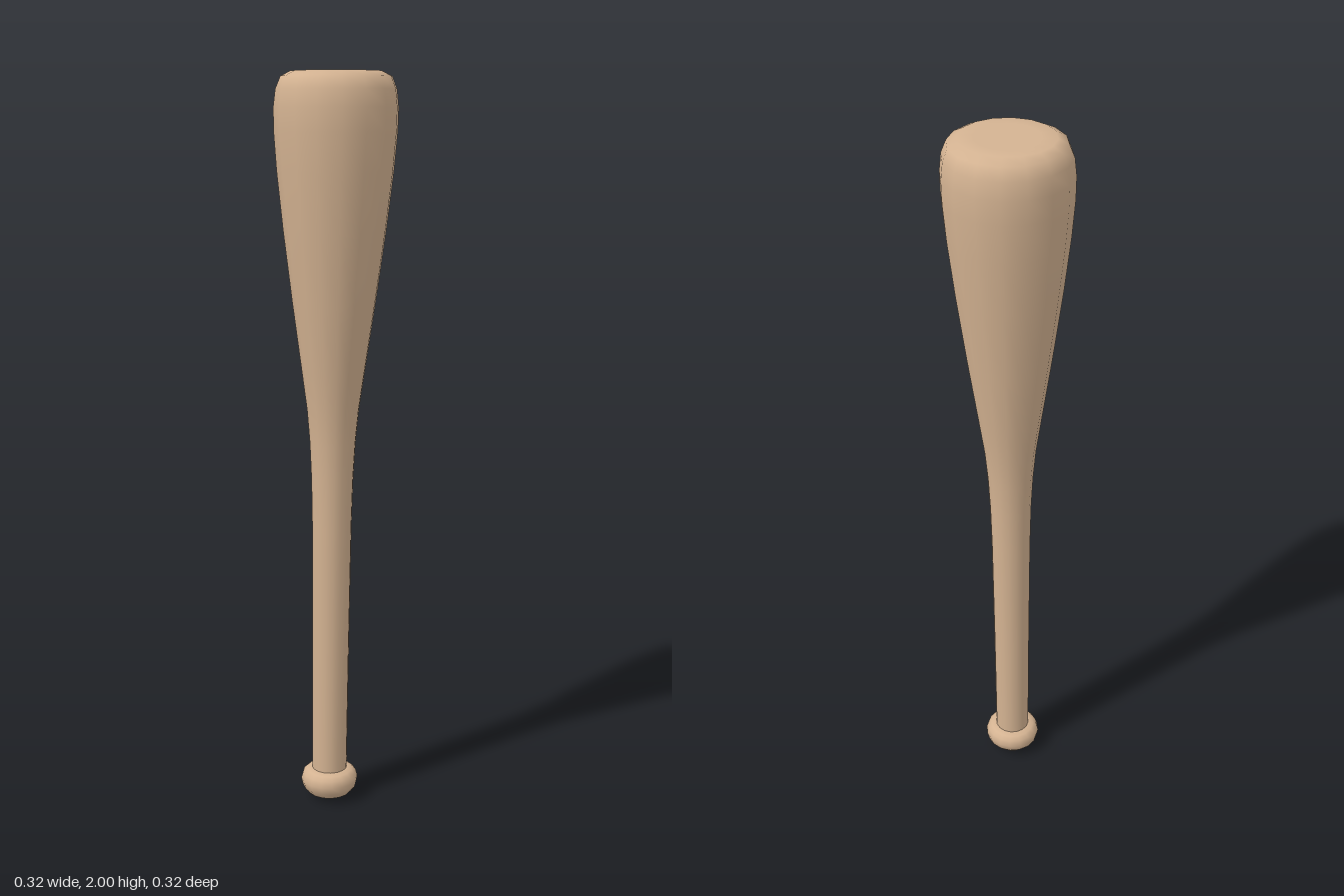
import * as THREE from 'three';

// Turned profile [radius, height]; the axis leans slightly forward at the base
function turned(name, profile, material) {
  const points = profile.map(([r, y]) => new THREE.Vector2(r, y));
  const geometry = new THREE.LatheGeometry(points, 16);
  const pos = geometry.attributes.position;
  for (let i = 0; i < pos.count; i++) {
    pos.setZ(i, pos.getZ(i) + 0.033 * (1 - pos.getY(i) / 2));
  }
  const mesh = new THREE.Mesh(geometry, material);
  mesh.name = name;
  return mesh;
}

export function createModel() {
  const wood = new THREE.MeshStandardMaterial({ color: 0xd4b392 });
  wood.name = 'light wood';

  const bat = new THREE.Group();
  bat.name = 'bat';

  // Rounded knob at the end of the handle
  bat.add(turned('knob', [
    [0, 0], [0.035, 0.004], [0.06, 0.016], [0.075, 0.034], [0.08, 0.055],
    [0.075, 0.073], [0.064, 0.083], [0.048, 0.088], [0, 0.088],
  ], wood));

  // Handle flaring into the barrel, with a softly rounded flat end
  bat.add(turned('handleAndBarrel', [
    [0.049, 0.08], [0.051, 0.45], [0.054, 0.8], [0.057, 0.93], [0.062, 1.03],
    [0.07, 1.12], [0.084, 1.22], [0.111, 1.41], [0.136, 1.6], [0.153, 1.75],
    [0.161, 1.85], [0.162, 1.91], [0.157, 1.955], [0.144, 1.987],
    [0.118, 2.0], [0.08, 2.0], [0, 2.0],
  ], wood));

  return bat;
}
